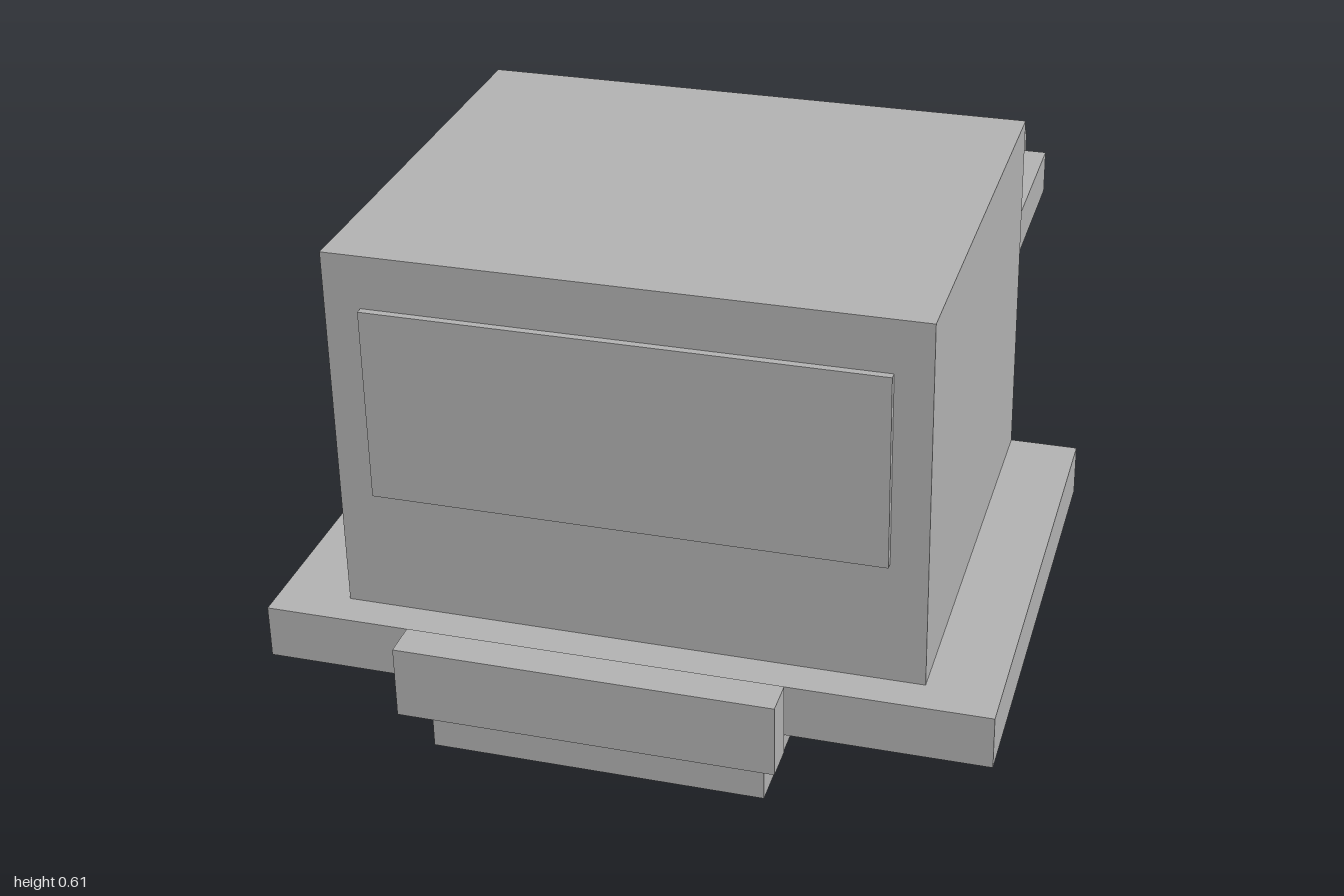
import * as THREE from 'three';

export function createModel() {
  const model = new THREE.Group();
  model.name = 'truck';

  const grey = new THREE.MeshStandardMaterial({ color: 0xb2b2b2 });
  grey.name = 'plain grey';

  // Box centred on x, given by its width and its y and z extents
  function block(name, width, [y0, y1], [z0, z1]) {
    const mesh = new THREE.Mesh(new THREE.BoxGeometry(width, y1 - y0, z1 - z0), grey);
    mesh.name = name;
    mesh.position.set(0, (y0 + y1) / 2, (z0 + z1) / 2);
    model.add(mesh);
  }

  // Long frame running the whole length
  block('chassis', 0.436, [0, 0.098], [-1, 0.953]);
  // Wide skirt, flush with the back of the cab
  block('cabSkirt', 0.974, [0.025, 0.099], [0.172, 0.854]);
  block('cab', 0.78, [0.099, 0.611], [0.172, 0.806]);
  // Raised windscreen panel
  block('windscreen', 0.682, [0.271, 0.538], [0.806, 0.816]);
  block('frontBumper', 0.488, [0.076, 0.173], [0.953, 1]);
  // Coupling plate on the rear of the frame
  block('rearPlate', 0.588, [0.098, 0.173], [-0.73, -0.196]);

  return model;
}
